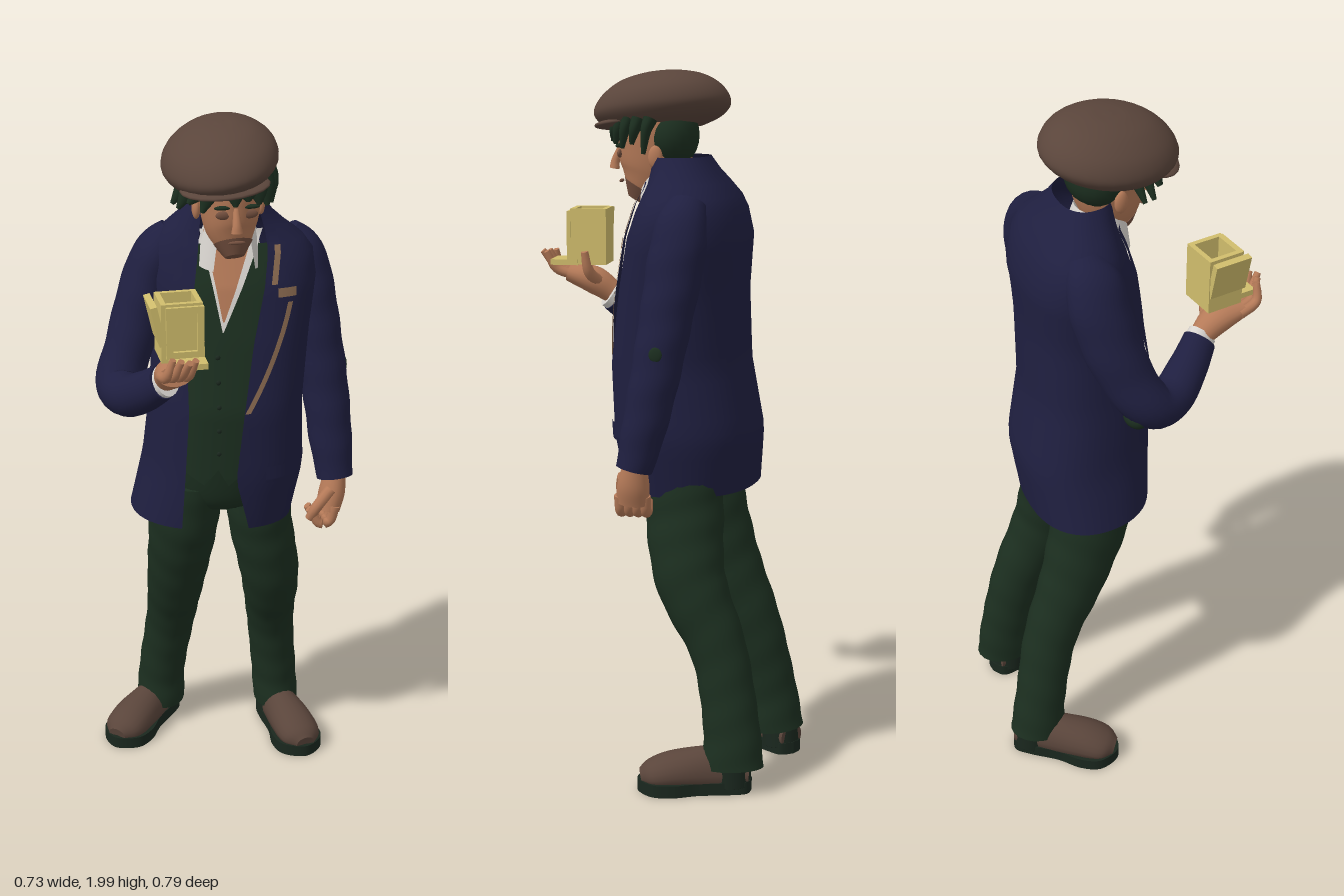
import * as THREE from 'three';

const mat = (name, color, side = THREE.FrontSide) => {
  const m = new THREE.MeshStandardMaterial({ color, side });
  m.name = name;
  return m;
};
const V = (x, y, z) => new THREE.Vector3(x, y, z);
const lerp = THREE.MathUtils.lerp;

// Skin a grid of points (rows of equal length)
function gridGeometry(rows, closed) {
  const n = rows[0].length, index = [], cols = closed ? n : n - 1;
  for (let i = 0; i < rows.length - 1; i++) for (let j = 0; j < cols; j++) {
    const k = (j + 1) % n, a = i * n + j, b = i * n + k;
    index.push(a, b, b + n, a, b + n, a + n);
  }
  const g = new THREE.BufferGeometry().setFromPoints(rows.flat());
  g.setIndex(index);
  g.computeVertexNormals();
  return g;
}

// Elliptical loft through rings [x, y, z, halfWidth, halfDepth], closed at both ends
function loft(rings, { steps = 28, sides = 20, ripple = 0, freq = 75 } = {}) {
  const path = new THREE.CatmullRomCurve3(rings.map(r => V(r[0], r[1], r[2])), false, 'catmullrom');
  const size = new THREE.CatmullRomCurve3(rings.map(r => V(r[3], r[4] ?? r[3], 0)), false, 'catmullrom');
  const row = (t, scale) => {
    const c = path.getPoint(t), s = size.getPoint(t), d = path.getTangent(t);
    const u = V(1, 0, 0).addScaledVector(d, -d.x).normalize(), v = d.clone().cross(u);
    return Array.from({ length: sides }, (_, j) => {
      const p = j / sides * Math.PI * 2;
      const k = scale * (1 + ripple * Math.sin(c.y * freq + 1.6 * Math.sin(p)));
      return c.clone().addScaledVector(u, s.x * k * Math.cos(p)).addScaledVector(v, s.y * k * Math.sin(p));
    });
  };
  const rows = [row(0, 0), row(0, 1)];
  for (let i = 0; i <= steps; i++) rows.push(row(i / steps, 1));
  rows.push(row(1, 1), row(1, 0));
  return gridGeometry(rows, true);
}

// Torso profile: y, centre x, centre z, half width, half depth, right and left opening x
const TORSO = [
  [0.84, -0.035, -0.085, 0.225, 0.178, -0.145, 0.04], [1.0, 0, -0.08, 0.222, 0.197, -0.135, 0.0],
  [1.2, 0.005, -0.058, 0.208, 0.184, -0.125, 0.02], [1.4, 0.02, -0.067, 0.212, 0.168, -0.125, 0.05],
  [1.55, 0.025, -0.085, 0.23, 0.158, -0.1, 0.085], [1.64, 0.025, -0.09, 0.22, 0.132, -0.085, 0.1],
  [1.68, 0.015, -0.085, 0.175, 0.11, -0.08, 0.1], [1.72, 0.012, -0.07, 0.13, 0.09, -0.075, 0.09],
  [1.765, 0.01, -0.055, 0.1, 0.075, -0.065, 0.08]];
function torsoAt(y) {
  let i = 0;
  while (i < TORSO.length - 2 && y > TORSO[i + 1][0]) i++;
  const a = TORSO[i], b = TORSO[i + 1], t = (y - a[0]) / (b[0] - a[0]);
  return a.map((v, k) => lerp(v, b[k], t));
}
const openR = y => torsoAt(y)[5], openL = y => torsoAt(y)[6];

// Cloth panel on the torso between two edges, across the front or round the back
function panel(y0, y1, xR, xL, grow, back = false) {
  const rows = [], m = 26, n = back ? 44 : 14;
  for (let i = 0; i <= m; i++) {
    const y = lerp(y0, y1, i / m), [, cx, cz, a, b] = torsoAt(y);
    const angle = x => {
      const d = THREE.MathUtils.clamp((x - cx) / a, -0.97, 0.97);
      return Math.asin(Math.sign(d) * Math.abs(d) ** 1.2);
    };
    const from = back ? angle(xL(y)) : angle(xR(y));
    const to = back ? angle(xR(y)) + Math.PI * 2 : angle(xL(y));
    rows.push(Array.from({ length: n + 1 }, (_, j) => {
      const p = lerp(from, to, j / n), s = Math.sin(p), c = Math.cos(p);
      const dx = (a + grow) * Math.sign(s) * Math.abs(s) ** 0.83;
      return V(cx + dx, y, cz + (b + grow) * Math.sign(c) * Math.abs(c) ** 0.9 + 0.14 * dx);
    }));
  }
  return gridGeometry(rows, false);
}
const line = (y0, a, y1, b) => y => lerp(a, b, (y - y0) / (y1 - y0));

export function createModel() {
  const model = new THREE.Group();
  const navy = mat('navy cloth', 0x1f1f40, THREE.DoubleSide), green = mat('dark green cloth', 0x1c2f20, THREE.DoubleSide);
  const brown = mat('brown felt and leather', 0x5a453b), skin = mat('skin', 0xb57a58);
  const stubble = mat('stubble', 0x74503f), white = mat('white shirt', 0xd8d4cf, THREE.DoubleSide);
  const yellow = mat('yellow case', 0xd0bd6c), tan = mat('tan trim', 0x8a6a50, THREE.DoubleSide);
  const throat = mat('throat skin', 0xb57a58, THREE.DoubleSide), dark = mat('sole', 0x1a271e);
  const add = (name, geometry, material, parent = model) => {
    const m = new THREE.Mesh(geometry, material);
    m.name = name;
    parent.add(m);
    return m;
  };
  const blob = (name, material, x, y, z, sx, sy, sz) => {
    const m = add(name, new THREE.SphereGeometry(1, 20, 14), material);
    m.position.set(x, y, z);
    m.scale.set(sx, sy, sz);
    return m;
  };

  // Trousers
  add('trouserSeat', loft([[-0.003, 0.86, -0.09, 0.11, 0.08], [-0.003, 0.91, -0.085, 0.175, 0.125],
    [0, 1.05, -0.075, 0.185, 0.14]]), green);
  const fold = { steps: 70, ripple: 0.014, freq: 62 };
  add('rightTrouserLeg', loft([[-0.1, 0.95, -0.085, 0.1, 0.12], [-0.11, 0.8, -0.1, 0.1, 0.12], [-0.12, 0.6, -0.165, 0.088, 0.1],
    [-0.125, 0.4, -0.25, 0.074, 0.08], [-0.145, 0.2, -0.3, 0.07, 0.075], [-0.15, 0.075, -0.315, 0.074, 0.083]], fold), green);
  add('leftTrouserLeg', loft([[0.1, 0.95, -0.07, 0.09, 0.115], [0.11, 0.8, -0.08, 0.093, 0.112], [0.148, 0.6, -0.105, 0.087, 0.1],
    [0.172, 0.4, -0.19, 0.072, 0.08], [0.193, 0.2, -0.228, 0.068, 0.08], [0.203, 0.075, -0.235, 0.068, 0.088]], fold), green);

  // Shoes: flat sole, heel, leather upper
  const half = [[0.035, -0.08], [0.045, -0.03], [0.05, 0.05], [0.066, 0.12], [0.056, 0.18]];
  const outline = [[0, -0.095], ...half, [0, 0.215], ...half.map(([x, z]) => [-x, z]).reverse(), [0, -0.095]]
    .map(([x, z]) => new THREE.Vector2(x, -z));
  const soleShape = new THREE.Shape();
  soleShape.moveTo(outline[0].x, outline[0].y);
  soleShape.splineThru(outline.slice(1));
  for (const [side, x, z, turn] of [['right', -0.172, -0.302, -0.75], ['left', 0.203, -0.19, 0.17]]) {
    const shoe = new THREE.Group();
    shoe.name = side + 'Shoe';
    shoe.position.set(x, 0.005, z);
    shoe.rotation.y = turn;
    shoe.scale.set(1.1, 1, 1.04);
    model.add(shoe);
    const sole = new THREE.ExtrudeGeometry(soleShape, { depth: 0.035, bevelEnabled: false, curveSegments: 40 });
    add('sole', sole.rotateX(-Math.PI / 2), dark, shoe);
    const upper = loft([[0, 0.05, -0.085, 0.035, 0.04], [0, 0.055, 0, 0.046, 0.07], [0, 0.055, 0.1, 0.058, 0.06],
      [0, 0.045, 0.17, 0.055, 0.045], [0, 0.038, 0.205, 0.026, 0.024]]);
    const p = upper.attributes.position;
    for (let i = 0; i < p.count; i++) p.setY(i, Math.max(p.getY(i), 0.03));
    upper.computeVertexNormals();
    add('leatherUpper', upper, brown, shoe);
    add('heelCounter', loft([[0, 0.02, -0.04, 0.05, 0.053], [0, 0.12, -0.035, 0.05, 0.055]]), dark, shoe);
  }

  // Waistcoat with two points, shirt and open neck
  add('waistcoat', panel(1.03, 1.66, y => openR(y) - 0.03, y => openL(y) + 0.03, -0.012), green);
  add('waistcoatPoint', panel(0.98, 1.03, line(0.98, -0.09, 1.03, -0.165), line(0.98, -0.088, 1.03, -0.05), -0.012), green);
  add('waistcoatPoint', panel(0.98, 1.03, line(0.98, -0.02, 1.03, -0.05), line(0.98, -0.018, 1.03, 0.035), -0.012), green);
  for (let i = 0; i < 5; i++) {
    const y = 1.08 + i * 0.07, [, cx, cz, , b] = torsoAt(y);
    blob('waistcoatButton', dark, -0.045, y, cz + b - 0.016 + 0.14 * (-0.045 - cx), 0.007, 0.007, 0.005);
  }
  add('shirtFront', panel(1.43, 1.7, line(1.43, -0.032, 1.7, -0.08), line(1.43, -0.03, 1.7, 0.095), -0.006), white);
  add('openThroat', panel(1.46, 1.7, line(1.46, -0.03, 1.7, -0.068), line(1.46, -0.026, 1.7, 0.066), -0.001), throat);
  const collar = add('shirtCollar', new THREE.CylinderGeometry(0.068, 0.095, 0.11, 32, 1, true, 0.65, Math.PI * 2 - 1.3), white);
  collar.position.set(0.006, 1.662, -0.012);
  collar.rotation.x = 0.12;

  // Jacket: open body, lapels, trims, pockets
  add('jacketBody', panel(0.84, 1.765, openR, openL, 0, true), navy);
  const outL = y => y < 1.52 ? lerp(openL(y), 0.15, (y - 1.2) / 0.32) : lerp(0.16, 0.12, (y - 1.52) / 0.18);
  const outR = y => y < 1.52 ? lerp(openR(y), -0.165, (y - 1.2) / 0.32) : lerp(-0.165, -0.1, (y - 1.52) / 0.18);
  add('leftLapel', panel(1.2, 1.7, openL, outL, 0.008), navy);
  add('rightLapel', panel(1.2, 1.7, outR, openR, 0.008), navy);
  add('leftLapelTrim', panel(1.21, 1.51, y => outL(y) - 0.006, y => outL(y) + 0.008, 0.01), tan);
  add('lapelNotchTrim', panel(1.525, 1.55, () => 0.115, () => 0.165, 0.011), tan);
  add('collarTrim', panel(1.56, 1.66, y => openL(y) + 0.012, y => openL(y) + 0.028, 0.011), tan);
  add('leftPocketFlap', panel(0.99, 1.04, () => 0.08, () => 0.18, 0.006), navy);

  // Sleeves
  const cloth = { steps: 44, ripple: 0.018, freq: 55 };
  add('leftSleeve', loft([[0.185, 1.65, -0.1, 0.04, 0.05], [0.23, 1.59, -0.09, 0.06, 0.07], [0.246, 1.5, -0.078, 0.07, 0.077],
    [0.268, 1.35, -0.055, 0.069, 0.072], [0.288, 1.2, -0.03, 0.066, 0.067], [0.3, 1.05, 0.0, 0.061, 0.06],
    [0.308, 0.945, 0.025, 0.051, 0.05]], cloth), navy);
  add('rightSleeve', loft([[-0.13, 1.665, -0.13, 0.035, 0.05], [-0.178, 1.6, -0.13, 0.06, 0.08], [-0.215, 1.49, -0.12, 0.07, 0.082],
    [-0.26, 1.36, -0.085, 0.068, 0.074], [-0.3, 1.265, -0.03, 0.066, 0.066], [-0.287, 1.255, 0.045, 0.06, 0.06],
    [-0.25, 1.295, 0.115, 0.052, 0.056], [-0.213, 1.345, 0.178, 0.044, 0.05]], cloth), navy);
  blob('leftElbowPatch', green, 0.346, 1.265, -0.04, 0.005, 0.02, 0.018);
  blob('rightElbowPatch', green, -0.293, 1.24, -0.07, 0.042, 0.036, 0.034);
  add('rightShirtCuff', loft([[-0.218, 1.335, 0.165, 0.038, 0.047], [-0.205, 1.354, 0.192, 0.036, 0.046]]), white);

  // Hands
  const finger = { steps: 10, sides: 10 };
  add('leftHand', loft([[0.31, 0.96, 0.022, 0.03, 0.032], [0.3, 0.9, 0.028, 0.037, 0.044], [0.288, 0.85, 0.032, 0.034, 0.046]]), skin);
  for (let i = 0; i < 4; i++) {
    const z = -0.003 + i * 0.023;
    add('leftFinger', loft([[0.298, 0.87, z, 0.016], [0.286, 0.825, z, 0.015], [0.255, 0.818, z, 0.014], [0.235, 0.845, z, 0.011]], finger), skin);
  }
  add('leftThumb', loft([[0.288, 0.92, 0.058, 0.017], [0.246, 0.875, 0.07, 0.016], [0.225, 0.835, 0.062, 0.012]], finger), skin);
  add('rightHand', loft([[-0.208, 1.355, 0.185, 0.032, 0.034], [-0.203, 1.39, 0.24, 0.045, 0.04], [-0.205, 1.41, 0.31, 0.044, 0.027]]), skin);
  for (let i = 0; i < 4; i++) {
    const x = -0.238 + i * 0.019, reach = 0.385 - Math.abs(i - 2) * 0.015;
    add('rightFinger', loft([[x, 1.405, 0.29, 0.015], [x + 0.005, 1.425, 0.345, 0.014], [x + 0.02, 1.475, reach, 0.009]], finger), skin);
  }
  add('rightThumb', loft([[-0.18, 1.39, 0.22, 0.017], [-0.14, 1.42, 0.24, 0.016], [-0.125, 1.48, 0.25, 0.011]], finger), skin);

  // Small open case held in the right hand
  const box = (name, w, h, d, x, y, z, rz = 0) => {
    const m = add(name, new THREE.BoxGeometry(w, h, d), yellow);
    m.position.set(x, y, z);
    m.rotation.z = rz;
  };
  const frame = (w, h, wall, depth) => {
    const rect = (T, a, b) => new T([[-a, -b], [a, -b], [a, b], [-a, b]].map(q => new THREE.Vector2(...q)));
    const s = rect(THREE.Shape, w / 2, h / 2);
    s.holes.push(rect(THREE.Path, w / 2 - wall, h / 2 - wall));
    return new THREE.ExtrudeGeometry(s, { depth, bevelEnabled: false });
  };
  add('caseWalls', frame(0.11, 0.105, 0.014, 0.16).rotateX(-Math.PI / 2), yellow).position.set(-0.182, 1.442, 0.24);
  box('caseFloor', 0.105, 0.06, 0.1, -0.182, 1.475, 0.24);
  add('caseFrontFrame', frame(0.1, 0.14, 0.018, 0.012), yellow).position.set(-0.175, 1.525, 0.29);
  box('caseSideWing', 0.018, 0.11, 0.11, -0.245, 1.545, 0.245, 0.22);
  box('caseTray', 0.095, 0.016, 0.08, -0.172, 1.448, 0.31);

  // Neck and head
  add('neck', loft([[0.0, 1.56, -0.035, 0.06], [0, 1.66, -0.015, 0.056], [0, 1.76, 0.0, 0.056]]), skin);
  add('head', loft([[0.004, 1.645, 0.068, 0.024, 0.028], [0.003, 1.675, 0.05, 0.05, 0.06], [0, 1.72, 0.032, 0.071, 0.09],
    [0, 1.78, 0.02, 0.082, 0.106], [0, 1.85, 0.015, 0.088, 0.11], [0, 1.9, 0, 0.08, 0.1]]), skin);
  add('jawStubble', loft([[0.004, 1.642, 0.068, 0.027, 0.032], [0.003, 1.675, 0.05, 0.053, 0.063]]), stubble);
  add('nose', loft([[-0.003, 1.79, 0.118, 0.008], [-0.004, 1.75, 0.133, 0.012], [-0.004, 1.728, 0.136, 0.016, 0.014]], finger), skin);
  blob('mouth', stubble, 0, 1.695, 0.115, 0.024, 0.005, 0.005);
  for (const s of [-1, 1]) {
    blob('ear', skin, s * 0.088, 1.765, 0.005, 0.012, 0.032, 0.02);
    blob('eye', stubble, s * 0.035, 1.772, 0.113, 0.022, 0.012, 0.007);
    blob('eyebrow', green, s * 0.038, 1.793, 0.116, 0.024, 0.006, 0.008);
  }

  // Hair and fringe locks
  blob('backHair', green, 0, 1.82, -0.025, 0.097, 0.09, 0.077);
  for (let i = 0; i < 11; i++) {
    const p = -1.5 + i * 0.3, x = 0.105 * Math.sin(p) - 0.008, z = 0.01 + 0.115 * Math.cos(p);
    const drop = 0.055 + 0.025 * Math.abs(Math.sin(p)) + 0.014 * Math.sin(i * 2.7), out = x < -0.05 ? 1.4 : 1.15;
    add('fringeLock', loft([[x, 1.868, z, 0.03, 0.02], [x * 1.1, 1.835, z + 0.01, 0.026, 0.014],
      [x * out, 1.868 - drop, z + 0.016, 0.006]], finger), green);
  }

  // Flat cap, tilted down to the front and to one side
  const cap = loft([[-0.024, 1.842, 0.005, 0.105, 0.122], [-0.024, 1.862, 0.005, 0.138, 0.168], [-0.024, 1.895, 0.005, 0.155, 0.191],
    [-0.024, 1.938, 0.005, 0.14, 0.17], [-0.024, 1.973, 0.005, 0.098, 0.122], [-0.024, 1.99, 0.005, 0.05, 0.062],
    [-0.024, 1.994, 0.005, 0.008, 0.01]], { steps: 40, sides: 32 });
  const cp = cap.attributes.position;
  for (let i = 0; i < cp.count; i++) cp.setY(i, cp.getY(i) + 0.14 * (cp.getX(i) + 0.02) - 0.1 * cp.getZ(i));
  cap.computeVertexNormals();
  add('flatCap', cap, brown);
  const peak = blob('capPeak', brown, -0.032, 1.85, 0.115, 0.12, 0.015, 0.078);
  peak.rotation.set(0.15, -0.1, 0.1);
  return model;
}
